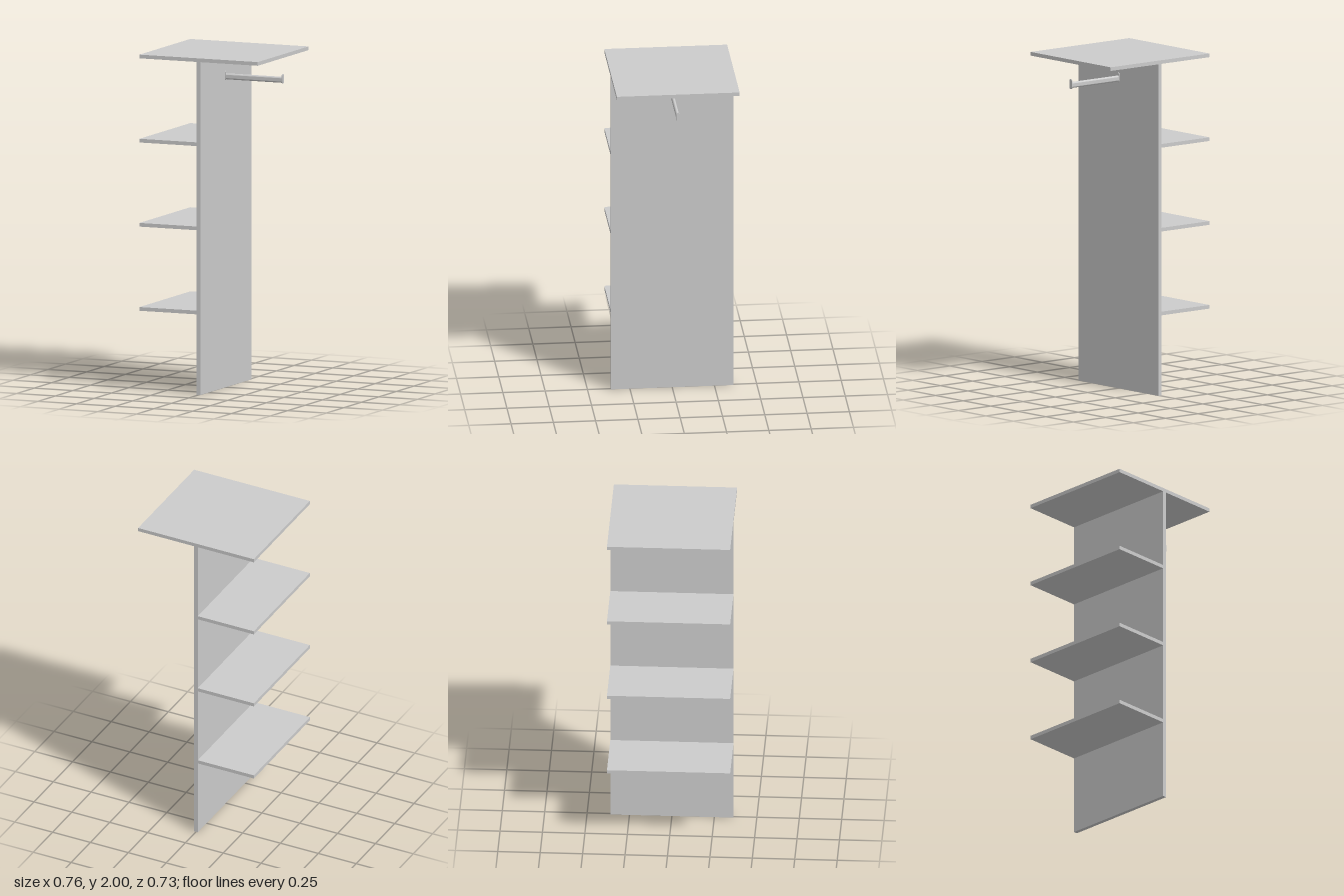
import * as THREE from 'three';
import { toCreasedNormals } from 'three/addons/utils/BufferGeometryUtils.js';

const material = new THREE.MeshStandardMaterial({ color: 0xcccccc });

const HALF_W = 0.382;   // half width of the top board
const DEPTH = 0.726;
const BOARD = 0.022;    // board thickness
const PANEL = 0.012;    // half thickness of the upright panel

function add(group, name, geometry, x, y, z) {
  const mesh = new THREE.Mesh(geometry, material);
  mesh.name = name;
  mesh.position.set(x, y, z);
  group.add(mesh);
  return mesh;
}

// Upright capsule outline extruded along +x, centred on y and z
function capsuleBar(width, height, length) {
  const r = width / 2, h = height / 2 - r;
  const shape = new THREE.Shape();
  shape.absarc(0, h, r, 0, Math.PI, false);
  shape.absarc(0, -h, r, Math.PI, Math.PI * 2, false);
  shape.closePath();
  const geometry = new THREE.ExtrudeGeometry(shape, { depth: length, bevelEnabled: false, curveSegments: 12 });
  geometry.rotateY(Math.PI / 2);
  return toCreasedNormals(geometry, 0.7);
}

export function createModel() {
  const model = new THREE.Group();
  model.name = 'wardrobeInsert';

  // Top board and central upright
  add(model, 'topBoard', new THREE.BoxGeometry(HALF_W * 2, BOARD, DEPTH), 0, 2 - BOARD / 2, 0);
  const panelHeight = 2 - BOARD;
  add(model, 'uprightPanel', new THREE.BoxGeometry(PANEL * 2, panelHeight, DEPTH), 0, panelHeight / 2, 0);

  // Shelves on one side
  const shelfWidth = HALF_W - PANEL;
  [0.5, 1.0, 1.5].forEach((top, i) => {
    add(model, `shelf${i + 1}`, new THREE.BoxGeometry(shelfWidth, BOARD, DEPTH),
      -PANEL - shelfWidth / 2, top - BOARD / 2, 0);
  });

  // Oval hanging rail with an end bracket at each end
  const rail = new THREE.Group();
  rail.name = 'hangingRail';
  const bracket = 0.005;
  add(rail, 'rod', capsuleBar(0.018, 0.036, shelfWidth - 0.004), PANEL + 0.002, 1.848, 0);
  add(rail, 'innerBracket', capsuleBar(0.023, 0.058, bracket), PANEL, 1.854, 0);
  add(rail, 'outerBracket', capsuleBar(0.023, 0.058, bracket), HALF_W - bracket, 1.854, 0);
  model.add(rail);

  return model;
}
